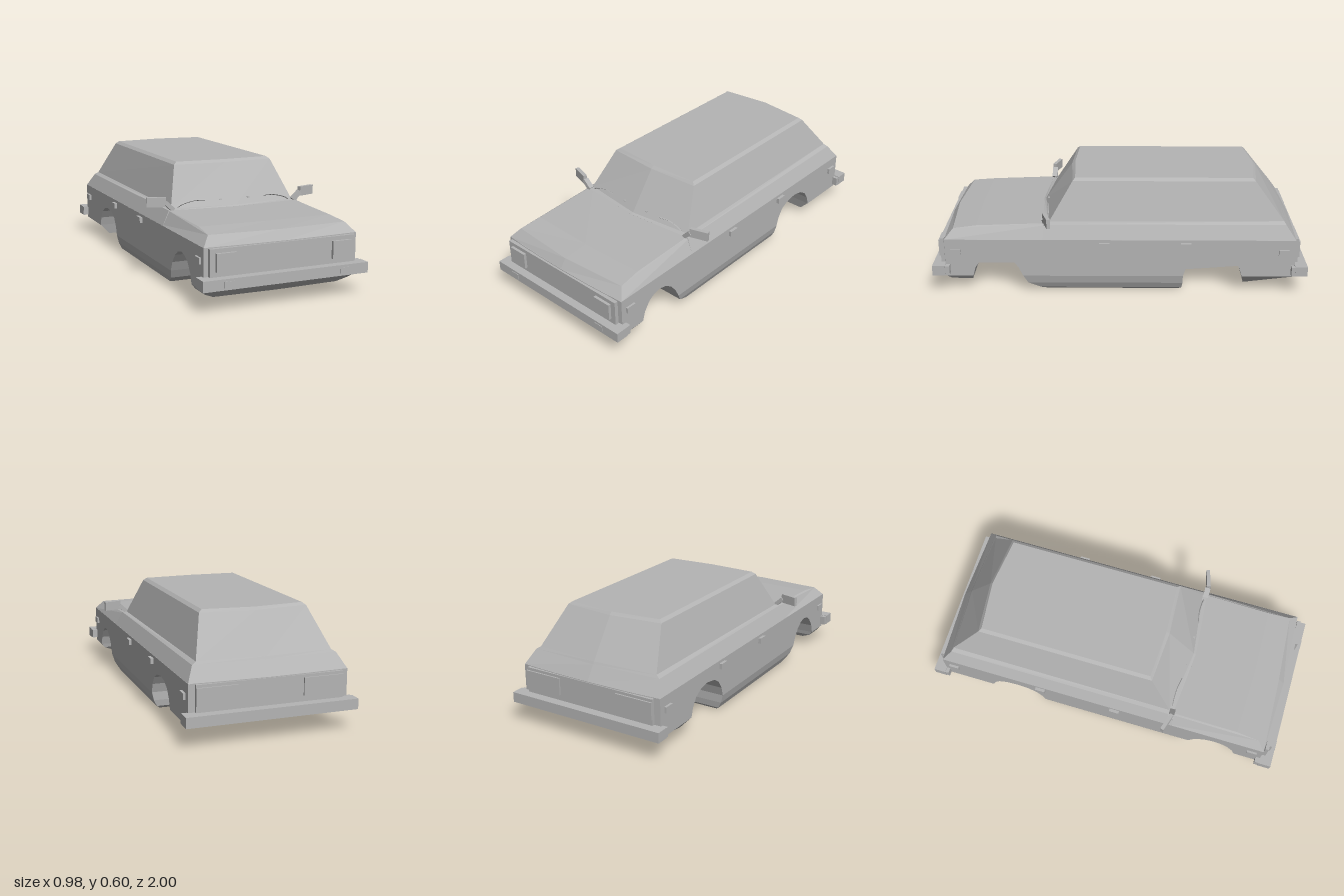
import * as THREE from 'three';

const paint = new THREE.MeshStandardMaterial({ color: 0xb4b4b4 });
paint.name = 'grey paint';

export function createModel() {
  const car = new THREE.Group();
  car.name = 'estateCarBody';

  const add = (name, geometry) => {
    const flat = geometry.index ? geometry.toNonIndexed() : geometry;
    flat.computeVertexNormals();
    const mesh = new THREE.Mesh(flat, paint);
    mesh.name = name;
    car.add(mesh);
    return mesh;
  };

  // Box given by its centre and size
  const box = (name, x, y, z, w, h, d) => {
    const mesh = add(name, new THREE.BoxGeometry(w, h, d));
    mesh.position.set(x, y, z);
    return mesh;
  };

  // Stack of six-cornered rings, bottom to top. Each ring is
  // [half width, front y, rear y, front centre z, front corner z, rear centre z, rear corner z]
  const stack = (name, rings) => {
    const pos = [], index = [], n = 6;
    for (const [x, yf, yr, fc, fk, rc, rk] of rings) {
      pos.push(0, yf, fc, x, yf, fk, x, yr, rk, 0, yr, rc, -x, yr, rk, -x, yf, fk);
    }
    for (let r = 0; r < rings.length - 1; r++) {
      for (let i = 0; i < n; i++) {
        const a = r * n + i, b = r * n + (i + 1) % n;
        index.push(a, b, b + n, a, b + n, a + n);
      }
    }
    // caps, split along the centre line
    const t = (rings.length - 1) * n;
    for (const [a, b, c] of [[0, 1, 2], [0, 2, 3], [0, 3, 4], [0, 4, 5]]) {
      index.push(t + a, t + b, t + c, a, c, b);
    }
    const g = new THREE.BufferGeometry();
    g.setAttribute('position', new THREE.Float32BufferAttribute(pos, 3));
    g.setIndex(index);
    return add(name, g);
  };

  // Side profile of [z, y] points extruded from x0 to x1, ends bowed in plan
  const slab = (name, profile, x0, x1) => {
    const shape = new THREE.Shape(profile.map(([z, y]) => new THREE.Vector2(-z, y)));
    const g = new THREE.ExtrudeGeometry(shape, { depth: x1 - x0, bevelEnabled: false, steps: 2 });
    g.rotateY(Math.PI / 2).translate(x0, 0, 0);
    const p = g.attributes.position;
    for (let i = 0; i < p.count; i++) {
      const x = p.getX(i), z = p.getZ(i);
      if (Math.abs(z) > 0.9) p.setZ(i, z - Math.sign(z) * 0.09 * x * x);
    }
    return add(name, g);
  };

  // Lower flanks with wheel arches
  const flank = [
    [0.945, 0.305], [0.945, 0.095], [0.785, 0.095], [0.77, 0.145], [0.735, 0.195], [0.70, 0.217],
    [0.66, 0.226], [0.615, 0.217], [0.575, 0.19], [0.54, 0.145], [0.517, 0.095],
    [-0.34, 0.095], [-0.355, 0.145], [-0.385, 0.19], [-0.43, 0.217], [-0.50, 0.229],
    [-0.56, 0.22], [-0.61, 0.19], [-0.64, 0.145], [-0.655, 0.095], [-0.95, 0.095], [-0.95, 0.305],
  ];
  slab('leftFlank', flank, 0.19, 0.413);
  slab('rightFlank', flank, -0.413, -0.19);

  // Centre body, whose sides close the wheel wells
  slab('centreBody', [
    [0.945, 0.305], [0.945, 0.095], [0.88, 0.07], [0.4, 0.07], [-0.30, 0.028],
    [-0.66, 0.055], [-0.85, 0.06], [-0.95, 0.095], [-0.95, 0.305],
  ], -0.2, 0.2);

  // Sill tray and the two aprons
  stack('sillTray', [
    [0.365, 0, 0, 0.39, 0.39, -0.32, -0.32],
    [0.385, 0.015, 0.015, 0.425, 0.425, -0.335, -0.335],
    [0.402, 0.05, 0.05, 0.493, 0.493, -0.34, -0.34],
    [0.413, 0.096, 0.096, 0.517, 0.517, -0.34, -0.34],
  ]);
  stack('frontApron', [
    [0.34, 0.047, 0.047, 0.885, 0.875, 0.81, 0.81],
    [0.395, 0.072, 0.072, 0.92, 0.9, 0.79, 0.79],
    [0.413, 0.096, 0.096, 0.945, 0.93, 0.785, 0.785],
  ]);
  stack('rearApron', [
    [0.355, 0.055, 0.033, -0.83, -0.825, -0.83, -0.825],
    [0.413, 0.096, 0.096, -0.655, -0.655, -0.95, -0.935],
  ].map((r, i) => i ? r : [0.355, 0.034, 0.056, -0.67, -0.67, -0.845, -0.835]));

  // Bonnet
  stack('bonnet', [
    [0.413, 0.304, 0.304, 0.945, 0.93, 0.36, 0.36],
    [0.372, 0.354, 0.378, 0.91, 0.885, 0.36, 0.36],
    [0.362, 0.367, 0.381, 0.77, 0.76, 0.36, 0.36],
  ]);

  // Shoulders, glasshouse and roof
  stack('cabin', [
    [0.413, 0.304, 0.304, 0.43, 0.41, -0.95, -0.935],
    [0.375, 0.379, 0.379, 0.43, 0.40, -0.90, -0.882],
    [0.353, 0.385, 0.392, 0.418, 0.375, -0.892, -0.873],
    [0.284, 0.59, 0.59, 0.268, 0.25, -0.752, -0.722],
    [0.266, 0.604, 0.604, 0.25, 0.236, -0.738, -0.708],
  ]);

  // Grille, bumpers
  box('grillePanel', 0, 0.234, 0.945, 0.785, 0.135, 0.02);
  box('rearPanel', 0, 0.234, -0.945, 0.76, 0.135, 0.018);
  box('frontBumper', 0, 0.138, 0.963, 0.89, 0.054, 0.068);
  box('rearBumper', 0, 0.138, -0.967, 0.89, 0.054, 0.066);

  for (const s of [1, -1]) {
    box('frontBumperEnd', s * 0.426, 0.138, 0.92, 0.034, 0.05, 0.03);
    box('rearBumperEnd', s * 0.426, 0.136, -0.93, 0.034, 0.05, 0.03);

    // Lamps
    box('headlamp', s * 0.312, 0.236, 0.955, 0.104, 0.09, 0.03);
    box('frontIndicator', s * 0.314, 0.138, 0.997, 0.052, 0.03, 0.006);
    box('tailLamp', s * 0.275, 0.242, -0.95, 0.21, 0.09, 0.024);

    // Side markers and door handles
    box('frontMarker', s * 0.415, 0.236, 0.872, 0.018, 0.032, 0.055);
    box('rearMarker', s * 0.415, 0.236, -0.873, 0.022, 0.032, 0.055);
    box('frontHandle', s * 0.418, 0.275, 0.08, 0.022, 0.03, 0.055);
    box('rearHandle', s * 0.418, 0.275, -0.353, 0.022, 0.03, 0.055);

    // Door mirror on a slanted arm
    const mirror = box('doorMirror', s * 0.437, 0.425, 0.382, 0.1, 0.05, 0.02);
    mirror.rotation.y = s * 0.3;
    const arm = box('mirrorArm', s * 0.372, 0.402, 0.394, 0.06, 0.022, 0.03);
    arm.rotation.z = s * 0.75;

    // Wiper and washer nozzle
    const wiper = new THREE.CatmullRomCurve3([
      [0.325, 0.388, 0.388], [0.31, 0.398, 0.386], [0.235, 0.418, 0.386], [0.17, 0.42, 0.397],
    ].map(([x, y, z]) => new THREE.Vector3(s * x, y, z)));
    add('wiper', new THREE.TubeGeometry(wiper, 8, 0.004, 4));
    box('washerNozzle', s * 0.08, 0.416, 0.396, 0.012, 0.004, 0.01);
  }

  return car;
}
